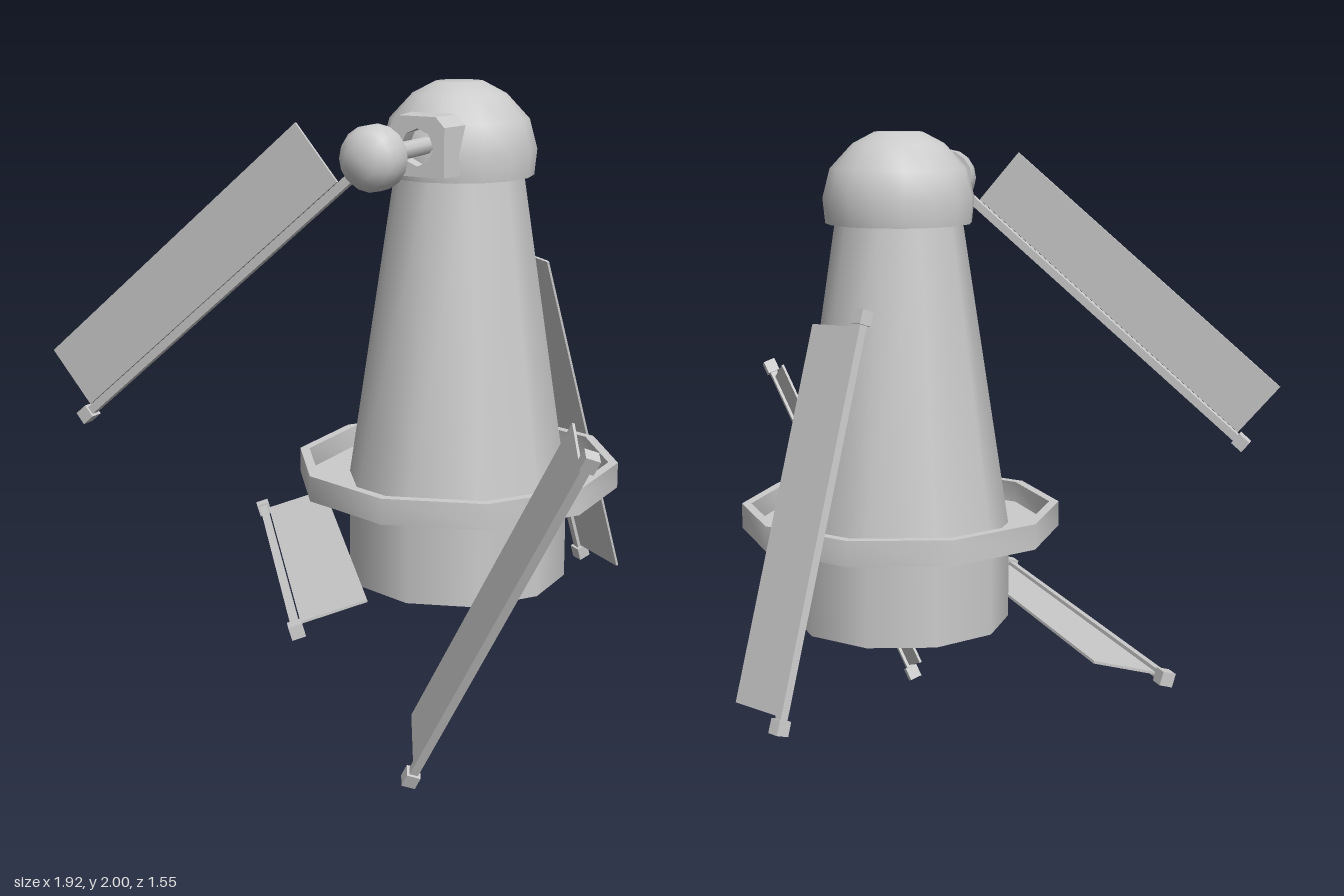
import * as THREE from 'three';
import { toCreasedNormals } from 'three/addons/utils/BufferGeometryUtils.js';

const material = new THREE.MeshStandardMaterial({ color: 0xcccccc, side: THREE.DoubleSide });
const CX = 0.178, CZ = -0.025, AXLE_Y = 1.83;

function add(parent, name, geometry, x = 0, y = 0, z = 0) {
  const mesh = new THREE.Mesh(geometry, material);
  mesh.name = name;
  mesh.position.set(x, y, z);
  parent.add(mesh);
  return mesh;
}

// Turned part; creases sharper than about 46 degrees stay sharp
function turned(points, segments) {
  const profile = points.map(([r, y]) => new THREE.Vector2(r, y));
  return toCreasedNormals(new THREE.LatheGeometry(profile, segments), 0.8);
}

// Sail: a spar from root to tip with end blocks, and a thin panel on the side of "corner"
function addSail(parent, name, root, tip, corner) {
  const r = new THREE.Vector3(...root), t = new THREE.Vector3(...tip);
  const along = r.clone().sub(t);
  const length = along.length();
  along.normalize();
  const across = new THREE.Vector3(...corner).sub(t);
  across.addScaledVector(along, -across.dot(along)).normalize();
  const normal = along.clone().cross(across);

  const sail = new THREE.Group();
  sail.name = name;
  sail.quaternion.setFromRotationMatrix(new THREE.Matrix4().makeBasis(along, across, normal));
  sail.position.copy(t);
  add(sail, 'spar', new THREE.BoxGeometry(length, 0.026, 0.026), length / 2);
  for (const x of [0.005, length - 0.005]) {
    add(sail, 'sparBlock', new THREE.BoxGeometry(0.045, 0.042, 0.042), x);
  }
  add(sail, 'panel', new THREE.BoxGeometry(1.165, 0.207, 0.008), 0.035 + 1.165 / 2, 0.121);
  parent.add(sail);
}

// Hood around the axle, narrowing towards the front
function hoodGeometry() {
  const shape = new THREE.Shape([
    [-0.125, -0.085], [0.125, -0.085], [0.125, 0.06], [0.085, 0.09], [-0.085, 0.09], [-0.125, 0.06],
  ].map(([x, y]) => new THREE.Vector2(x, y)));
  const opening = new THREE.Path();
  opening.absellipse(0, 0, 0.075, 0.055, 0, Math.PI * 2, true);
  shape.holes.push(opening);
  const depth = 0.2;
  const geometry = new THREE.ExtrudeGeometry(shape, { depth, bevelEnabled: false, curveSegments: 4 });
  const p = geometry.attributes.position;
  for (let i = 0; i < p.count; i++) {
    if (p.getZ(i) > depth / 2) p.setX(i, p.getX(i) * 0.7);
  }
  return toCreasedNormals(geometry, 0.4);
}

export function createModel() {
  const model = new THREE.Group();
  model.name = 'ruinedWindmill';

  // Ten-sided tower
  add(model, 'base', new THREE.CylinderGeometry(0.347, 0.347, 0.3, 10, 1, true), CX, 0.6, CZ);
  add(model, 'tower', new THREE.CylinderGeometry(0.198, 0.347, 0.98, 10, 1, true), CX, 1.24, CZ);

  // Gallery with raised rim
  add(model, 'gallery', turned([
    [0.33, 0.75], [0.507, 0.75], [0.507, 0.83], [0.477, 0.83], [0.477, 0.762], [0.33, 0.762],
  ], 10), CX, 0, CZ);

  // Domed cap with closed underside
  add(model, 'cap', turned([
    [0, 1.722], [0.228, 1.722], [0.236, 1.80], [0.212, 1.89], [0.142, 1.965], [0.075, 2.0], [0, 2.0],
  ], 16), CX, 0, CZ);
  add(model, 'hood', hoodGeometry(), CX, AXLE_Y, 0.055);

  // Axle and rounded hub
  add(model, 'axle', new THREE.CylinderGeometry(0.026, 0.026, 0.42, 10), CX, AXLE_Y, 0.32).rotation.x = Math.PI / 2;
  add(model, 'hub', turned([
    [0, 0], [0.093, 0], [0.093, 0.05], [0.08, 0.078], [0.05, 0.1], [0, 0.106],
  ], 16), 0.185, AXLE_Y, 0.505).rotation.x = Math.PI / 2;

  // One sail still on the hub, three fallen around the tower
  addSail(model, 'attachedSail', [0.185, 1.83, 0.535], [-0.835, 0.972, 0.535], [-0.965, 1.155, 0.535]);
  addSail(model, 'leaningSailFront', [0.93, 1.12, 0.745], [0.34, 0.03, 0.608], [0.25, 0.125, 0.43]);
  addSail(model, 'flatSail', [0, 0.455, 0.675], [-0.738, 0.43, -0.33], [-0.56, 0.49, -0.44]);
  addSail(model, 'leaningSailBack', [0.18, 1.475, -0.37], [0.32, 0.307, -0.742], [0.505, 0.305, -0.625]);

  return model;
}
